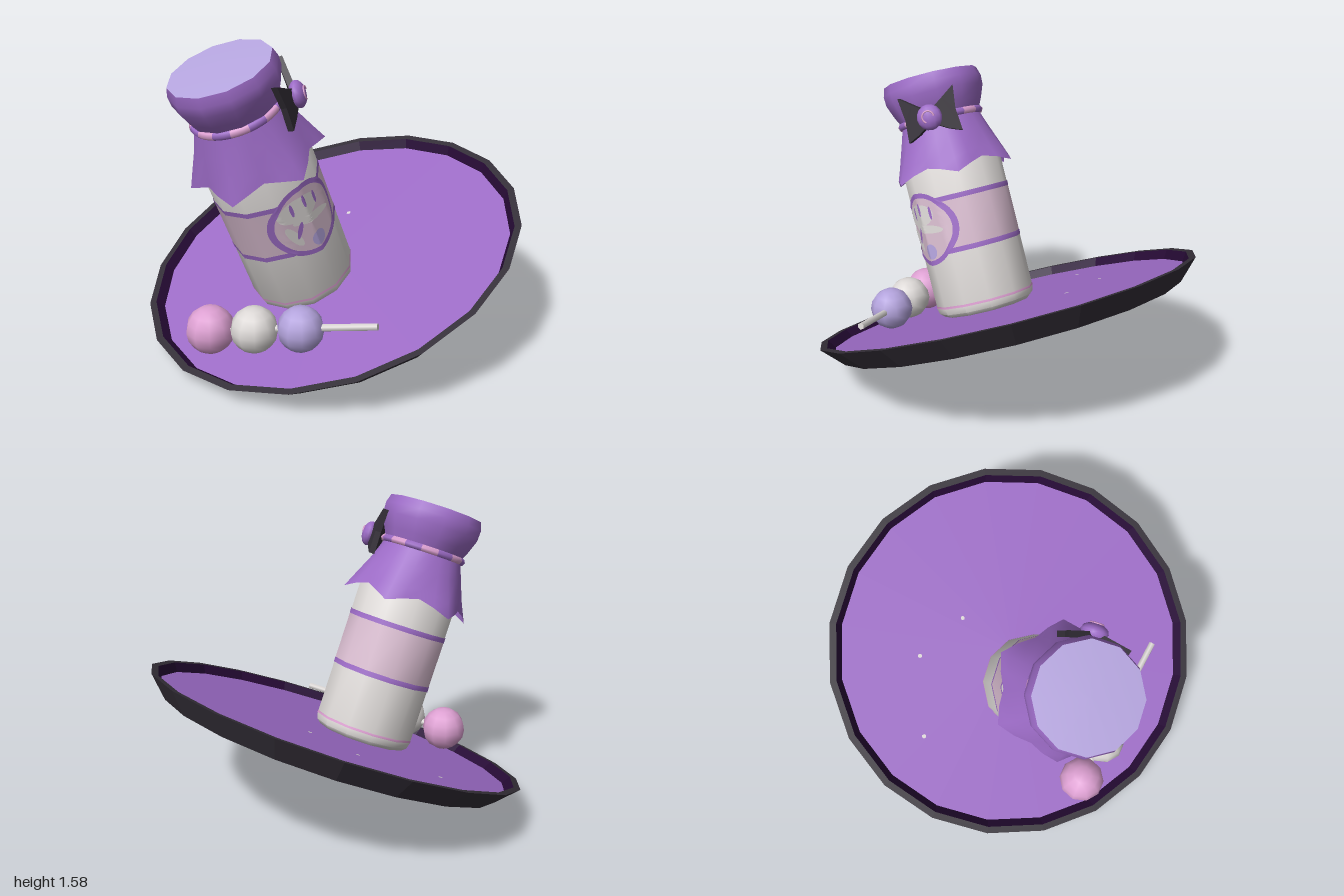
import * as THREE from 'three';
import { toCreasedNormals } from 'three/addons/utils/BufferGeometryUtils.js';

const mat = (name, color, side = THREE.FrontSide) => {
  const m = new THREE.MeshStandardMaterial({ color, side });
  m.name = name;
  return m;
};

// Closed loops stacked from bottom to top; a row is [radius, height] or a function of the side number giving it
function loft(rows, n, crease) {
  const pos = [], idx = [];
  for (const row of rows) {
    for (let j = 0; j < n; j++) {
      const [r, y] = typeof row === 'function' ? row(j) : row;
      const a = j / n * Math.PI * 2;
      pos.push(r * Math.sin(a), y, r * Math.cos(a));
    }
  }
  for (let i = 0; i < rows.length - 1; i++) {
    for (let j = 0; j < n; j++) {
      const k = (j + 1) % n, a = i * n + j, b = i * n + k, c = b + n, d = a + n;
      idx.push(a, b, c, a, c, d);
    }
  }
  const g = new THREE.BufferGeometry();
  g.setAttribute('position', new THREE.Float32BufferAttribute(pos, 3));
  g.setIndex(idx);
  return toCreasedNormals(g, crease);
}

export function createModel() {
  const charcoal = mat('charcoal', 0x342f38);
  const darkPurple = mat('dark purple', 0x270b36);
  const purple = mat('purple', 0x9c6bc6, THREE.DoubleSide);
  const lilac = mat('lilac', 0xb3a3dc);
  const white = mat('warm white', 0xdcd8d6);
  const labelPink = mat('label pink', 0xd8bccf);
  const pink = mat('pink', 0xdda0d2);

  const model = new THREE.Group();
  const add = (parent, name, geometry, material) => {
    const m = new THREE.Mesh(geometry, material);
    m.name = name;
    parent.add(m);
    return m;
  };

  // Everything standing on the plate shares its tilt
  const tilted = new THREE.Group();
  tilted.name = 'tiltedSet';
  tilted.position.y = 0.443;
  tilted.rotation.x = 0.391;
  model.add(tilted);

  // Plate
  const floorY = -0.045;
  add(tilted, 'plateShell', loft([[0, -0.106], [0.9, -0.106], [1, 0], [0.965, 0]], 20, 0.1), charcoal);
  add(tilted, 'plateInnerWall', loft([[0.965, 0], [0.935, floorY]], 20, 0.1), darkPurple);
  add(tilted, 'plateFloor', loft([[0.935, floorY], [0, floorY]], 20, 0.1), purple);
  for (const [x, z] of [[-0.165, -0.285], [-0.465, -0.21], [-0.645, 0.185]]) {
    const speck = add(tilted, 'crumb', new THREE.CircleGeometry(0.012, 6), white);
    speck.rotation.x = -Math.PI / 2;
    speck.position.set(x, floorY + 0.004, z);
  }

  // Jar
  const jar = new THREE.Group();
  jar.name = 'jar';
  jar.position.z = 0.2;
  tilted.add(jar);
  const turned = (name, rows, material, sides = 12) => add(jar, name, loft(rows, sides, 0.75), material);
  turned('jarBody', [[0, floorY], [0.235, floorY], [0.258, -0.025], [0.265, 0.005],
    [0.265, 0.76], [0.2, 0.9], [0.19, 1.05]], white);
  turned('baseLine', [[0.267, 0.008], [0.267, 0.02]], pink);
  turned('labelBand', [[0.2665, 0.3], [0.2665, 0.58]], labelPink);
  for (const y of [0.305, 0.575]) turned('labelStripe', [[0.268, y - 0.013], [0.268, y + 0.013]], purple);

  // Round label: flat patches wrapped onto the twelve-sided wall on the left side
  const wrap = (name, material, u, v, w, h, lift, inner = 0, turn = 0) => {
    const g = new THREE.RingGeometry(inner, 1, 40, 10);
    g.scale(w, h, 1).rotateZ(turn).translate(u, v + 0.44, 0);
    const p = g.attributes.position;
    for (let i = 0; i < p.count; i++) {
      const z = Math.abs(p.getX(i));
      const wall = Math.min(0.265 - 0.268 * z, 0.362 - z);
      p.setXYZ(i, wall + lift, p.getY(i), -p.getX(i));
    }
    g.computeVertexNormals();
    add(jar, name, g, material);
  };
  wrap('labelDisc', labelPink, 0, 0, 0.18, 0.18, 0.005);
  wrap('labelRing', purple, 0, 0, 0.193, 0.193, 0.008, 0.87);
  wrap('labelCloud', white, -0.03, 0.075, 0.115, 0.06, 0.0065);
  wrap('labelSmear', white, 0.02, 0.0, 0.11, 0.022, 0.0075, 0, -0.15);
  wrap('labelSmear', white, -0.1, -0.05, 0.022, 0.07, 0.0065, 0, 0.4);
  for (const [u, v] of [[-0.07, 0.09], [0, 0.105], [0.07, 0.08]]) wrap('labelStroke', purple, u, v, 0.009, 0.035, 0.0085);
  wrap('labelStroke', purple, -0.065, -0.03, 0.012, 0.045, 0.0085, 0, -0.5);
  wrap('labelDot', lilac, 0.013, -0.12, 0.04, 0.04, 0.0085);

  // Cloth cover: scalloped skirt with six tips, puffed cap and pale lid
  const scallop = (...points) => j => points[[1, 2, 1, 0][(j + 1) % 4]];
  turned('clothSkirt', [
    scallop([0.34, 0.69], [0.308, 0.722], [0.285, 0.742]),
    scallop([0.305, 0.765], [0.286, 0.78], [0.272, 0.79]),
    scallop([0.25, 0.88], [0.246, 0.885], [0.24, 0.89]),
    [0.208, 0.99],
  ].map(row => (typeof row === 'function' ? j => row(j) : row)), purple, 24);
  turned('clothCap', [[0.205, 0.985], [0.237, 1.05], [0.264, 1.12], [0.266, 1.17], [0.252, 1.215]], purple);
  turned('lidTop', [[0.252, 1.215], [0, 1.23]], lilac);

  // Cord in alternating segments
  for (let i = 0; i < 16; i++) {
    const g = new THREE.TorusGeometry(0.212, 0.02, 6, 3, Math.PI / 8);
    g.rotateX(Math.PI / 2).rotateY(i * Math.PI / 8).translate(0, 0.992, 0);
    add(jar, 'cordSegment', g, i % 2 ? pink : purple);
  }

  // Bow at the back left, its wings bent towards the jar
  const bow = new THREE.Group();
  bow.name = 'bow';
  bow.position.set(0.195, 0.99, -0.2);
  bow.rotation.y = Math.PI * 0.75;
  jar.add(bow);
  for (const s of [-1, 1]) {
    const shape = new THREE.Shape([[0, -0.03], [0.08, -0.075], [0.145, -0.1], [0.135, 0.015], [0.15, 0.135], [0.08, 0.085], [0, 0.03]]
      .map(([x, y]) => new THREE.Vector2(x, y)));
    const g = new THREE.ExtrudeGeometry(shape, { depth: 0.03, bevelEnabled: false });
    g.translate(0, 0, -0.015);
    const wing = add(bow, 'bowWing', g, charcoal);
    wing.rotation.y = s > 0 ? 0.28 : Math.PI - 0.28;
  }
  const knot = add(bow, 'bowKnot', new THREE.SphereGeometry(0.066, 12, 8), purple);
  knot.scale.z = 0.6;
  knot.position.z = 0.015;
  const swirl = add(bow, 'bowKnotSwirl', new THREE.TorusGeometry(0.03, 0.005, 5, 14, 4.2), pink);
  swirl.position.z = 0.05;

  // Three dumplings on a stick
  const skewer = new THREE.Group();
  skewer.name = 'skewer';
  model.add(skewer);
  const balls = [[pink, -0.005, 0.222, 0.755, 0.12], [white, 0.195, 0.262, 0.64, 0.115], [lilac, 0.39, 0.3, 0.515, 0.112]];
  for (const [m, x, y, z, r] of balls) {
    add(skewer, 'dumpling', new THREE.SphereGeometry(r, 10, 8), m).position.set(x, y, z);
  }
  const from = new THREE.Vector3(0, 0.22, 0.75), to = new THREE.Vector3(0.7, 0.365, 0.315);
  const stick = add(skewer, 'stick', new THREE.CylinderGeometry(0.018, 0.018, from.distanceTo(to), 6), white);
  stick.position.copy(from).add(to).multiplyScalar(0.5);
  stick.quaternion.setFromUnitVectors(new THREE.Vector3(0, 1, 0), to.clone().sub(from).normalize());

  return model;
}
